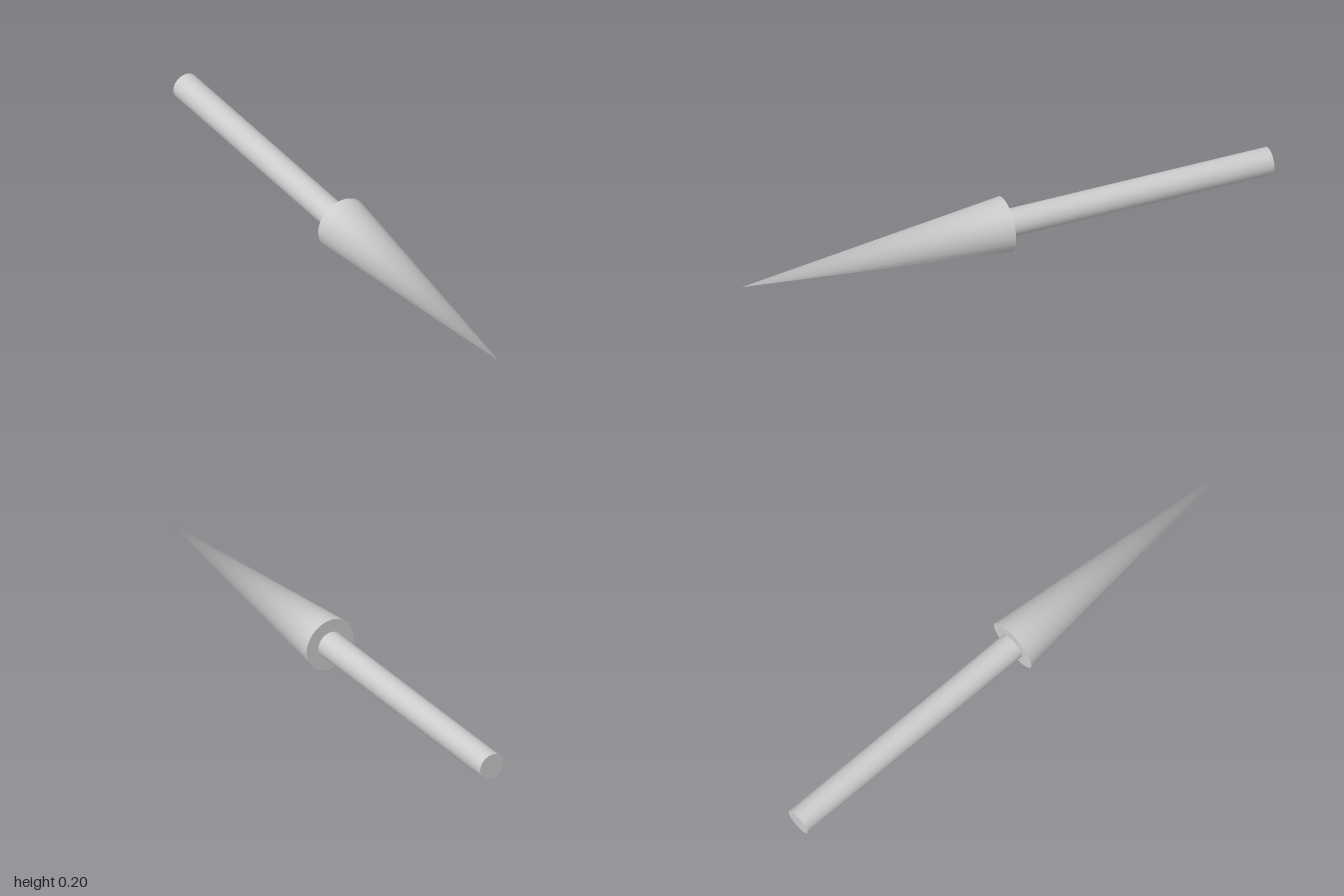
import * as THREE from 'three';
import { mergeVertices } from 'three/addons/utils/BufferGeometryUtils.js';

const SIDES = 64;
const AXIS_Y = 0.1; // height of the centre line
const HEAD_R = 0.1;
const SHAFT_R = 0.05;

export function createModel() {
  const group = new THREE.Group();
  group.name = 'arrow';
  const material = new THREE.MeshStandardMaterial({ color: 0xcccccc });

  const add = (name, geometry, z) => {
    const mesh = new THREE.Mesh(geometry, material);
    mesh.name = name;
    mesh.position.set(0, AXIS_Y, z);
    group.add(mesh);
  };

  // Pointed head: one shared tip vertex, so shading rounds off smoothly at the point
  let cone = new THREE.ConeGeometry(HEAD_R, 1, SIDES, 1, true).rotateX(Math.PI / 2);
  cone.deleteAttribute('normal');
  cone.deleteAttribute('uv');
  cone = mergeVertices(cone);
  cone.computeVertexNormals();
  add('arrowHead', cone, 0.5);

  // Flat shoulder closing the back of the head around the shaft
  add('headShoulder', new THREE.RingGeometry(SHAFT_R, HEAD_R, SIDES).rotateY(Math.PI), 0);

  // Round shaft running back from the head
  add('shaft', new THREE.CylinderGeometry(SHAFT_R, SHAFT_R, 1, SIDES).rotateX(Math.PI / 2), -0.5);

  return group;
}
